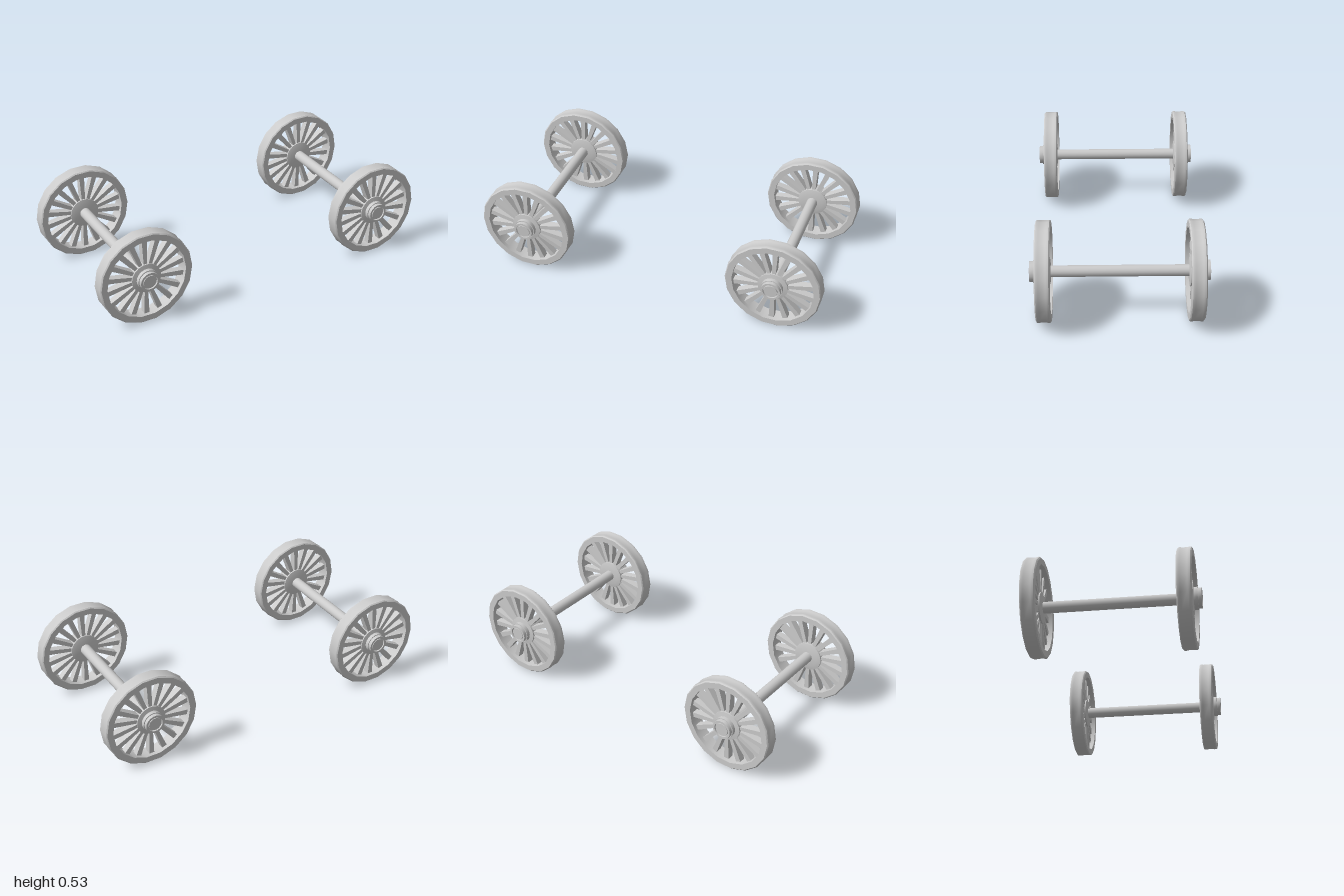
import * as THREE from 'three';
import { toCreasedNormals } from 'three/addons/utils/BufferGeometryUtils.js';

const SIDES = 18;
const RADIUS = 0.27;
const material = new THREE.MeshStandardMaterial({ color: 0xcccccc });

// Turned part around the z axis from [radius, z] pairs, with flats facing up and down.
function turned(name, profile) {
  const points = profile.map(([r, z]) => new THREE.Vector2(r, z));
  const geometry = new THREE.LatheGeometry(points, SIDES, Math.PI / SIDES);
  geometry.rotateX(Math.PI / 2);
  const mesh = new THREE.Mesh(toCreasedNormals(geometry, 0.6), material);
  mesh.name = name;
  return mesh;
}

// Bar from hub to rim, slightly wider and thinner towards the rim.
function spokeGeometry(inner, outer) {
  const geometry = new THREE.BoxGeometry(1, outer - inner, 1);
  geometry.translate(0, (inner + outer) / 2, 0);
  const p = geometry.attributes.position;
  for (let i = 0; i < p.count; i++) {
    const atRim = p.getY(i) > (inner + outer) / 2;
    p.setX(i, p.getX(i) * (atRim ? 0.03 : 0.02));
    p.setZ(i, p.getZ(i) * (atRim ? 0.036 : 0.046));
  }
  geometry.computeVertexNormals();
  return geometry;
}

function createWheel(name) {
  const wheel = new THREE.Group();
  wheel.name = name;

  // Rim with chamfered edges and a slightly hollow tread
  wheel.add(turned('rim', [
    [0.23, -0.04], [0.264, -0.04], [RADIUS, -0.034], [RADIUS, -0.022], [0.268, -0.016],
    [0.268, 0.016], [RADIUS, 0.022], [RADIUS, 0.034], [0.264, 0.04], [0.23, 0.04], [0.23, -0.04],
  ]));

  // Hub with stepped collar and end cap
  wheel.add(turned('hub', [
    [0, -0.036], [0.06, -0.036], [0.085, -0.03], [0.085, 0.03], [0.06, 0.034],
    [0.06, 0.055], [0.055, 0.055], [0.055, 0.075], [0.043, 0.075], [0.043, 0.064],
    [0.037, 0.064], [0.037, 0.073], [0, 0.073],
  ]));

  // Spokes
  const geometry = spokeGeometry(0.075, 0.235);
  for (let i = 0; i < SIDES; i++) {
    const spoke = new THREE.Mesh(geometry, material);
    spoke.name = 'spoke';
    spoke.rotation.z = (i / SIDES) * Math.PI * 2;
    wheel.add(spoke);
  }
  return wheel;
}

function createWheelset(name) {
  const set = new THREE.Group();
  set.name = name;

  const axle = new THREE.Mesh(new THREE.CylinderGeometry(0.031, 0.031, 0.76, SIDES), material);
  axle.name = 'axle';
  axle.rotation.x = Math.PI / 2;
  set.add(axle);

  const front = createWheel('frontWheel');
  front.position.z = 0.4;
  const back = createWheel('backWheel');
  back.position.z = -0.4;
  back.rotation.y = Math.PI;
  set.add(front, back);
  return set;
}

export function createModel() {
  const model = new THREE.Group();
  model.name = 'wheelsets';
  for (const side of [-1, 1]) {
    const set = createWheelset(side > 0 ? 'leftWheelset' : 'rightWheelset');
    set.position.set(side * 0.73, RADIUS, 0);
    model.add(set);
  }
  return model;
}
